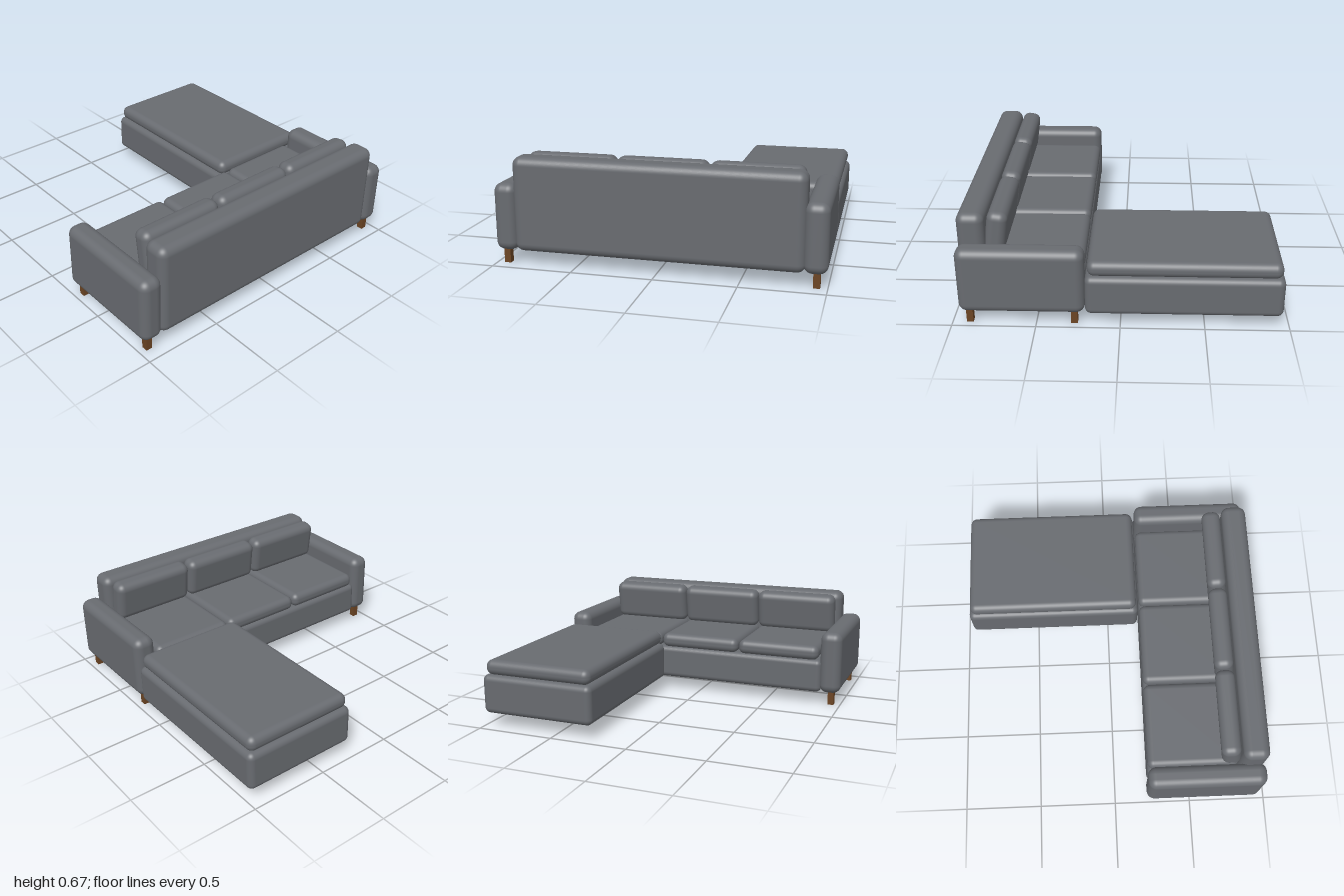
import * as THREE from 'three';
import { RoundedBoxGeometry } from 'three/addons/geometries/RoundedBoxGeometry.js';

export function createModel() {
  const sofa = new THREE.Group();
  sofa.name = 'cornerSofa';

  const fabric = new THREE.MeshStandardMaterial({ color: 0x686b70 });
  fabric.name = 'greyFabric';
  const wood = new THREE.MeshStandardMaterial({ color: 0x6b4423 });
  wood.name = 'brownWood';

  // Upholstered block given by its extents on each axis
  function padded(name, [x0, x1], [y0, y1], [z0, z1], radius) {
    const geometry = new RoundedBoxGeometry(x1 - x0, y1 - y0, z1 - z0, 6, radius);
    const mesh = new THREE.Mesh(geometry, fabric);
    mesh.name = name;
    mesh.position.set((x0 + x1) / 2, (y0 + y1) / 2, (z0 + z1) / 2);
    sofa.add(mesh);
    return mesh;
  }

  // Frame: seat base and tall backrest
  padded('seatBase', [-0.87, 0.87], [0.085, 0.308], [0.212, 0.84], 0.035);
  padded('backrest', [-0.874, 0.874], [0.085, 0.667], [0.793, 0.957], 0.052);

  // Armrests, each on two square legs
  for (const [side, s] of [['left', 1], ['right', -1]]) {
    const x = s * 0.929;
    padded(side + 'Armrest', [x - 0.071, x + 0.071], [0.085, 0.5], [0.208, 0.957], 0.053);
    for (const [end, z] of [['Inner', 0.273], ['Outer', 0.897]]) {
      const leg = new THREE.Mesh(new THREE.BoxGeometry(0.04, 0.1, 0.04), wood);
      leg.name = side + end + 'Leg';
      leg.position.set(s * 0.937, 0.05, z);
      sofa.add(leg);
    }
  }

  // Three seat cushions with back cushions tipped over them
  for (let i = -1; i <= 1; i++) {
    const x = i * 0.566;
    const span = [x - 0.279, x + 0.279];
    padded('seatCushion', span, [0.303, 0.4], [0.212, 0.8], 0.042);
    const back = padded('backCushion', span, [0.392, 0.662], [0.671, 0.795], 0.048);
    back.rotation.x = -0.14;
  }

  // Chaise: base block and its thin cushion
  padded('chaiseBase', [0.25, 0.998], [0.085, 0.334], [-0.957, 0.208], 0.038);
  padded('chaiseCushion', [0.265, 0.983], [0.33, 0.426], [-0.942, 0.194], 0.044);

  return sofa;
}
